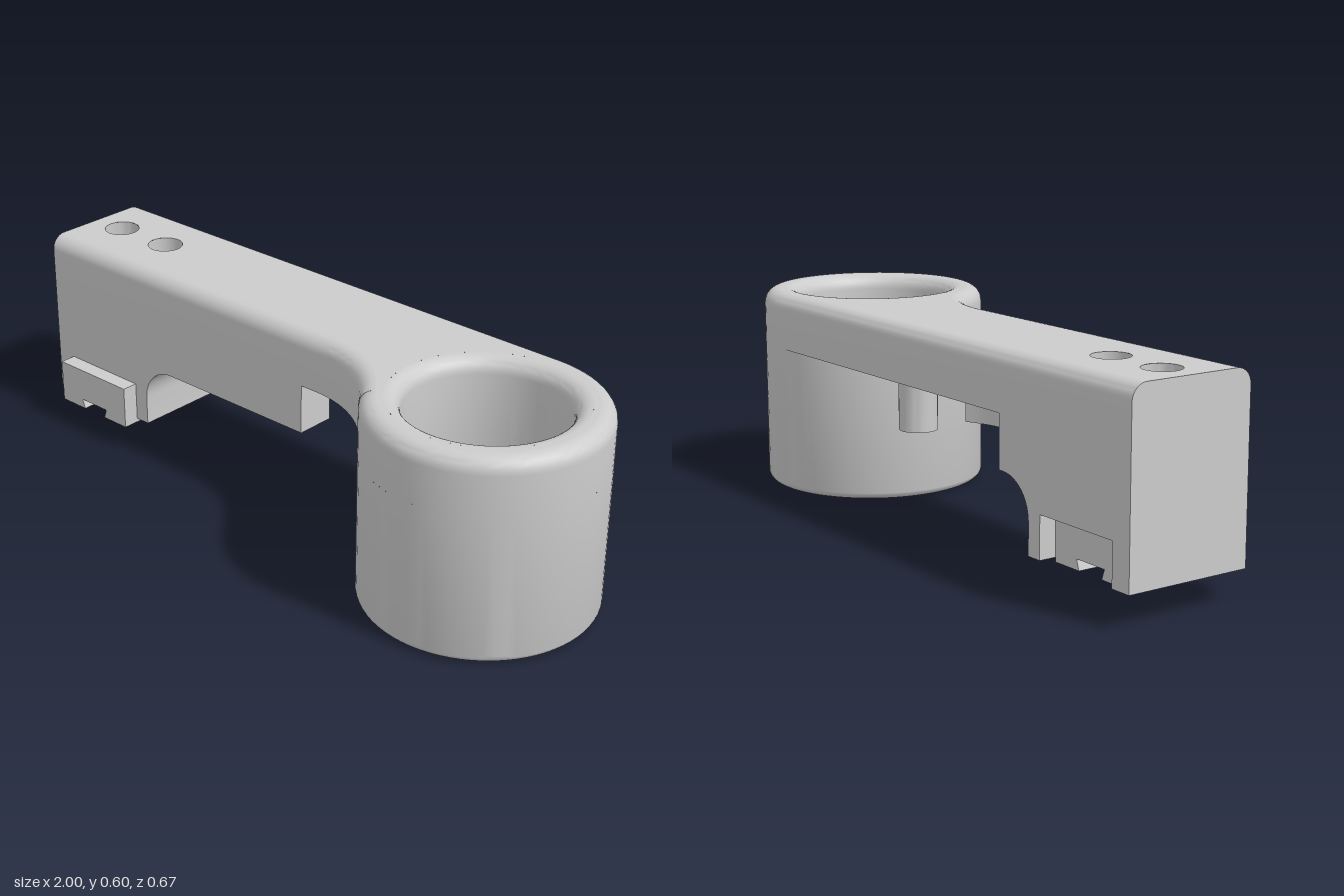
import * as THREE from 'three';
import { toCreasedNormals } from 'three/addons/utils/BufferGeometryUtils.js';

const material = new THREE.MeshStandardMaterial({ color: 0xcccccc });
const TOP = 0.603, PLATE = 0.44, FILLET = 0.045;
const FRONT = 0.04, BACK = -0.335;            // z limits of the arm
const RX = 0.663, RO = 0.336, RI = 0.227;      // ring centre x, outer and inner radius
const HOLES = [-0.89, -0.695], HOLE_Z = -0.15;

// Plan shapes are drawn in (x, -z) and laid flat
const flat = (geo, y) => geo.rotateX(-Math.PI / 2).translate(0, y, 0);

function arc(cx, cy, r, a0, a1, n) {
  return Array.from({ length: n + 1 }, (_, i) => {
    const a = a0 + (a1 - a0) * i / n;
    return new THREE.Vector2(cx + r * Math.cos(a), cy + r * Math.sin(a));
  });
}

const polygon = (pairs) => new THREE.Shape(pairs.map(([x, y]) => new THREE.Vector2(x, y)));

// Outline of arm plus ring, inset by d everywhere but at the square arm end
function outline(d) {
  const R = 0.344, cx = 0.1, cy = -FRONT - R;
  const a = Math.atan2(-cy, RX - cx);
  return [
    new THREE.Vector2(-1, -FRONT + d),
    ...arc(cx, cy, R + d, Math.PI / 2, a, 20),
    ...arc(RX, 0, RO - d, Math.PI + a, 2.5 * Math.PI, 56),
    new THREE.Vector2(-1, -BACK - d),
  ];
}

function circleHole(x, y, r) {
  return new THREE.Path().absarc(x, y, r, 0, Math.PI * 2, true);
}

export function createModel() {
  const model = new THREE.Group();
  const add = (name, geo, crease = 0.6) => {
    const mesh = new THREE.Mesh(toCreasedNormals(geo, crease), material);
    mesh.name = name;
    model.add(mesh);
    return mesh;
  };

  // Plate side wall with a rounded top edge
  const rows = [{ d: 0, y: PLATE }];
  for (let i = 0; i <= 8; i++) {
    const t = i / 8 * Math.PI / 2;
    rows.push({ d: FILLET * (1 - Math.cos(t)), y: TOP - FILLET + FILLET * Math.sin(t) });
  }
  const positions = [], index = [];
  const n = outline(0).length;
  rows.forEach(({ d, y }, r) => {
    outline(d).forEach((p) => positions.push(p.x, y, -p.y));
    if (r === 0) return;
    for (let i = 0; i < n - 1; i++) {
      const a = (r - 1) * n + i, b = r * n + i;
      index.push(a, a + 1, b + 1, a, b + 1, b);
    }
  });
  const wall = new THREE.BufferGeometry();
  wall.setAttribute('position', new THREE.Float32BufferAttribute(positions, 3));
  wall.setIndex(index);
  add('plateWall', wall);

  // Plate top with ring opening and screw holes
  const topShape = new THREE.Shape(outline(FILLET));
  topShape.holes.push(circleHole(RX, 0, RI + FILLET));
  HOLES.forEach((x) => topShape.holes.push(circleHole(x, -HOLE_Z, 0.053)));
  add('plateTop', flat(new THREE.ShapeGeometry(topShape, 32), TOP));

  // Plate underside, facing down
  const underShape = new THREE.Shape(outline(0).map((p) => new THREE.Vector2(p.x, -p.y)));
  underShape.holes.push(circleHole(RX, 0, RI + 0.04));
  add('plateUnderside', new THREE.ShapeGeometry(underShape, 32)
    .rotateX(Math.PI / 2).translate(0, PLATE, 0));

  // Square end of the plate
  const endShape = new THREE.Shape([
    ...rows.map(({ d, y }) => new THREE.Vector2(FRONT - d, y)),
    ...rows.slice().reverse().map(({ d, y }) => new THREE.Vector2(BACK + d, y)),
  ]);
  add('plateEnd', new THREE.ShapeGeometry(endShape).rotateY(-Math.PI / 2).translate(-1, 0, 0));

  // Ring: inner wall down, rounded bottom, outer wall up to the plate
  const f = 0.028;
  const ringProfile = [
    ...arc(RI + FILLET, TOP - FILLET, FILLET, Math.PI / 2, Math.PI, 8),
    ...arc(RI + f, f, f, Math.PI, Math.PI * 1.5, 6),
    ...arc(RO - f, f, f, Math.PI * 1.5, Math.PI * 2, 6),
    new THREE.Vector2(RO, PLATE),
  ];
  add('ring', new THREE.LatheGeometry(ringProfile, 72).translate(RX, 0, 0));

  // Counterbored screw holes
  HOLES.forEach((x) => {
    const bore = [[0, PLATE + 0.005], [0.03, PLATE + 0.005], [0.03, 0.5], [0.053, 0.5], [0.053, TOP]]
      .map(([r, y]) => new THREE.Vector2(r, y)).reverse();
    add('screwHole', new THREE.LatheGeometry(bore, 32).translate(x, 0, HOLE_Z));
  });

  // Foot under the arm end, with an arch and a slot for the insert
  const foot = new THREE.Shape([
    [-1, PLATE], [-1, 0.09], [-0.935, 0.09], [-0.935, 0.21], [-0.648, 0.21], [-0.648, 0.09], [-0.6, 0.09],
  ].map(([x, y]) => new THREE.Vector2(x, y)).concat(
    arc(-0.49, 0.18, 0.11, Math.PI, Math.PI / 2, 12),
    [new THREE.Vector2(-0.49, PLATE)],
  ));
  add('foot', new THREE.ExtrudeGeometry(foot, { depth: FRONT - BACK, bevelEnabled: false })
    .translate(0, 0, BACK));

  // Grooved insert, set in at the back and standing out at the front
  const insert = polygon([
    [-0.935, 0.21], [-0.935, 0.078], [-0.835, 0.078], [-0.845, 0.107],
    [-0.735, 0.107], [-0.745, 0.078], [-0.648, 0.078], [-0.648, 0.21],
  ]);
  add('insert', new THREE.ExtrudeGeometry(insert, { depth: 0.375, bevelEnabled: false })
    .translate(0, 0, -0.285));

  // Rib under the plate, hollowed by a round pocket open to the back
  const rib = new THREE.Shape([
    new THREE.Vector2(-0.49, -FRONT),
    new THREE.Vector2(0.045, -FRONT),
    ...arc(-0.12, 0.4, 0.36, -1.095, -2.96, 32),
    new THREE.Vector2(-0.49, -BACK),
  ]);
  add('rib', flat(new THREE.ExtrudeGeometry(rib, { depth: PLATE - 0.29, bevelEnabled: false }), 0.29));

  // Pin hanging from the plate
  add('pin', new THREE.CylinderGeometry(0.055, 0.055, PLATE - 0.29, 32)
    .translate(0.047, (PLATE + 0.29) / 2, -0.24));

  return model;
}
